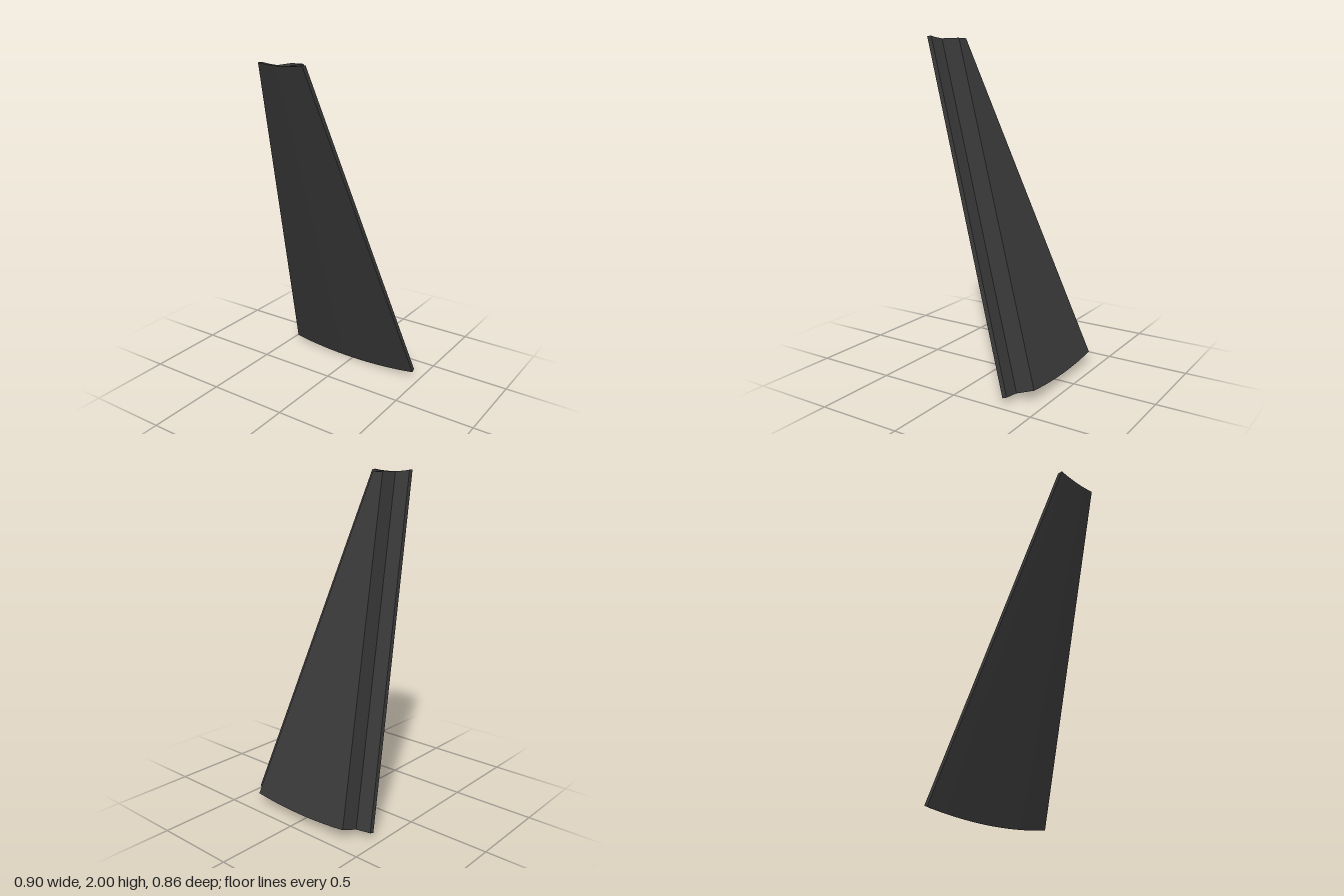
import * as THREE from 'three';
import { toCreasedNormals } from 'three/addons/utils/BufferGeometryUtils.js';

const CENTRE_Y = 2.887;          // height of the horizontal cone axis (along z)
const HALF = Math.PI / 20;       // half the sector angle, 9 degrees
const STEPS = 16;

// Sweep a four-cornered [radius, z] profile around the axis.
// Corner order: front top, front bottom, back bottom, back top.
// inset narrows the sector by a constant distance from its straight sides.
function conicalSector(profile, inset) {
  const point = (j, i) => {
    const [r, z] = profile[j % 4];
    const t = (HALF - Math.asin(inset / r)) * (2 * i / STEPS - 1);
    return [r * Math.sin(t), CENTRE_Y - r * Math.cos(t), z];
  };
  const pos = [];
  const quad = (a, b, c, d) => pos.push(...a, ...b, ...c, ...a, ...c, ...d);
  for (let i = 0; i < STEPS; i++) {
    for (let j = 0; j < 4; j++) {
      quad(point(j, i), point(j + 1, i), point(j + 1, i + 1), point(j, i + 1));
    }
  }
  // flat radial sides
  quad(point(0, STEPS), point(1, STEPS), point(2, STEPS), point(3, STEPS));
  quad(point(3, 0), point(2, 0), point(1, 0), point(0, 0));
  const geo = new THREE.BufferGeometry();
  geo.setAttribute('position', new THREE.Float32BufferAttribute(pos, 3));
  return toCreasedNormals(geo, 0.4);
}

export function createModel() {
  const group = new THREE.Group();
  group.name = 'conicalPanel';
  const charcoal = new THREE.MeshStandardMaterial({ color: 0x383838 });
  charcoal.name = 'charcoal';

  const add = (name, profile, inset) => {
    const mesh = new THREE.Mesh(conicalSector(profile, inset), charcoal);
    mesh.name = name;
    group.add(mesh);
  };

  // thin outer skin
  add('facePlate', [[0.898, 0.43], [2.887, -0.295], [2.877, -0.321], [0.898, 0.4]], 0);
  // thick backing, inset from both sides and sunk into the skin
  add('backingBlock', [[0.898, 0.412], [2.882, -0.31], [2.837, -0.43], [0.898, 0.276]], 0.104);

  return group;
}
